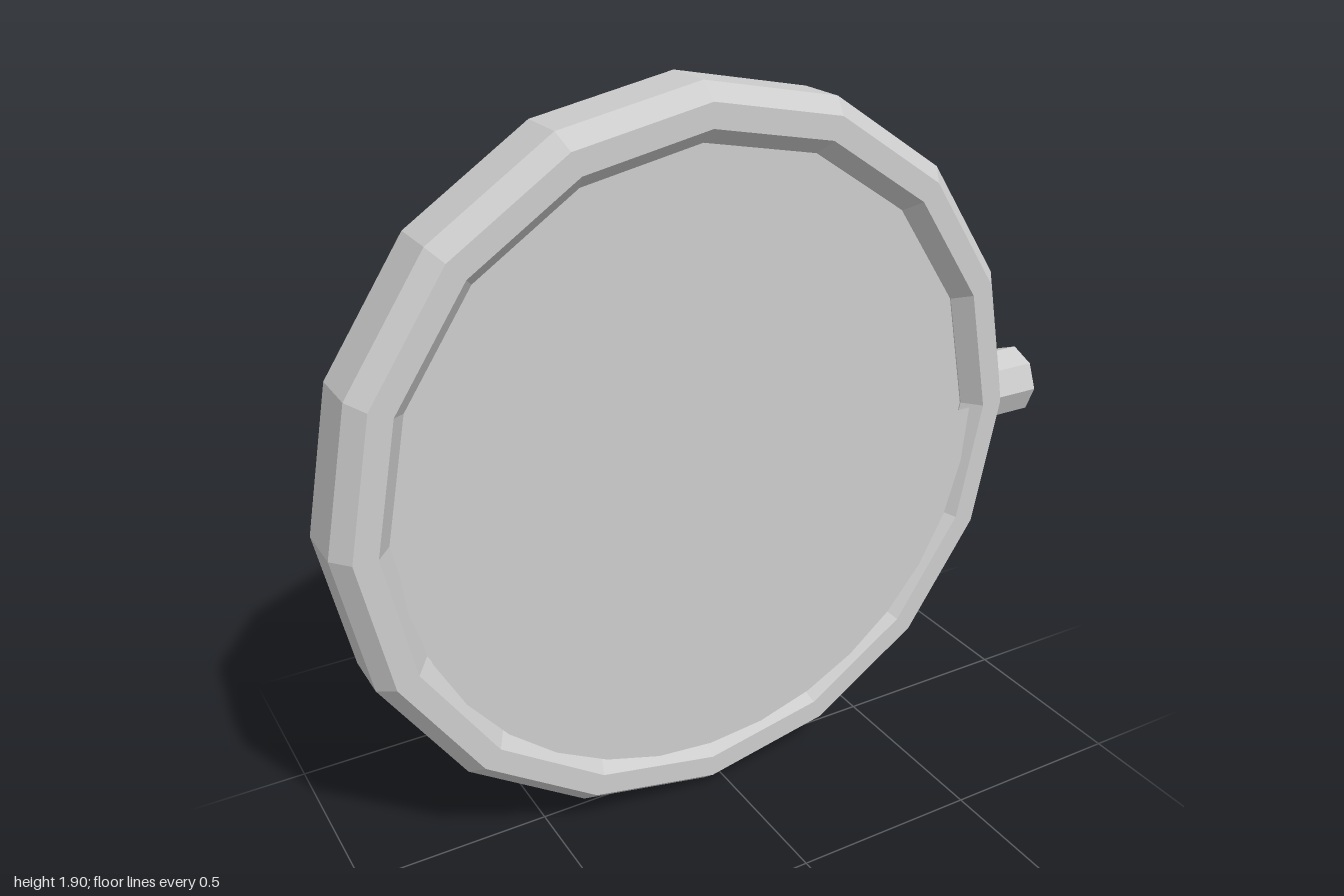
import * as THREE from 'three';

export function createModel() {
  const model = new THREE.Group();
  model.name = 'roundCase';
  const grey = new THREE.MeshStandardMaterial({ color: 0xcccccc });
  grey.name = 'light grey';
  grey.flatShading = true;
  const sheetGrey = grey;

  const body = new THREE.Group();
  body.name = 'body';
  body.position.set(-0.05, 0.95, 0);
  model.add(body);

  const add = (name, geometry, material = grey) => {
    const mesh = new THREE.Mesh(geometry, material);
    mesh.name = name;
    body.add(mesh);
    return mesh;
  };

  // Sixteen-sided rim with a bevelled cross-section (radius, depth)
  const profile = [
    [0.81, -0.068], [0.85, -0.115], [0.91, -0.115], [0.95, -0.068],
    [0.95, 0.068], [0.91, 0.115], [0.85, 0.115], [0.81, 0.068], [0.81, -0.068],
  ].map(([r, d]) => new THREE.Vector2(r, d));
  add('rim', new THREE.LatheGeometry(profile, 16).rotateX(Math.PI / 2));

  // Solid disc that fills the rim
  add('innerDisc', new THREE.CylinderGeometry(0.815, 0.815, 0.13, 16).rotateX(Math.PI / 2));

  // Raised half panel and round dot on both faces
  for (const side of [1, -1]) {
    const label = side > 0 ? 'front' : 'back';
    const panel = new THREE.CircleGeometry(0.81, 16, Math.PI, Math.PI);
    const dot = new THREE.CircleGeometry(0.098, 32);
    if (side < 0) {
      panel.rotateY(Math.PI);
      dot.rotateY(Math.PI);
    }
    add(label + 'HalfPanel', panel, sheetGrey).position.z = 0.105 * side;
    add(label + 'Dot', dot, sheetGrey).position.set(-0.42, 0.28, 0.085 * side);
  }

  // Eight-sided knob on the side
  add('knob', new THREE.CylinderGeometry(0.095, 0.095, 0.18, 8).rotateZ(-Math.PI / 2))
    .position.x = 0.96;

  // Panels are open sheets
  grey.side = THREE.DoubleSide;
  return model;
}
